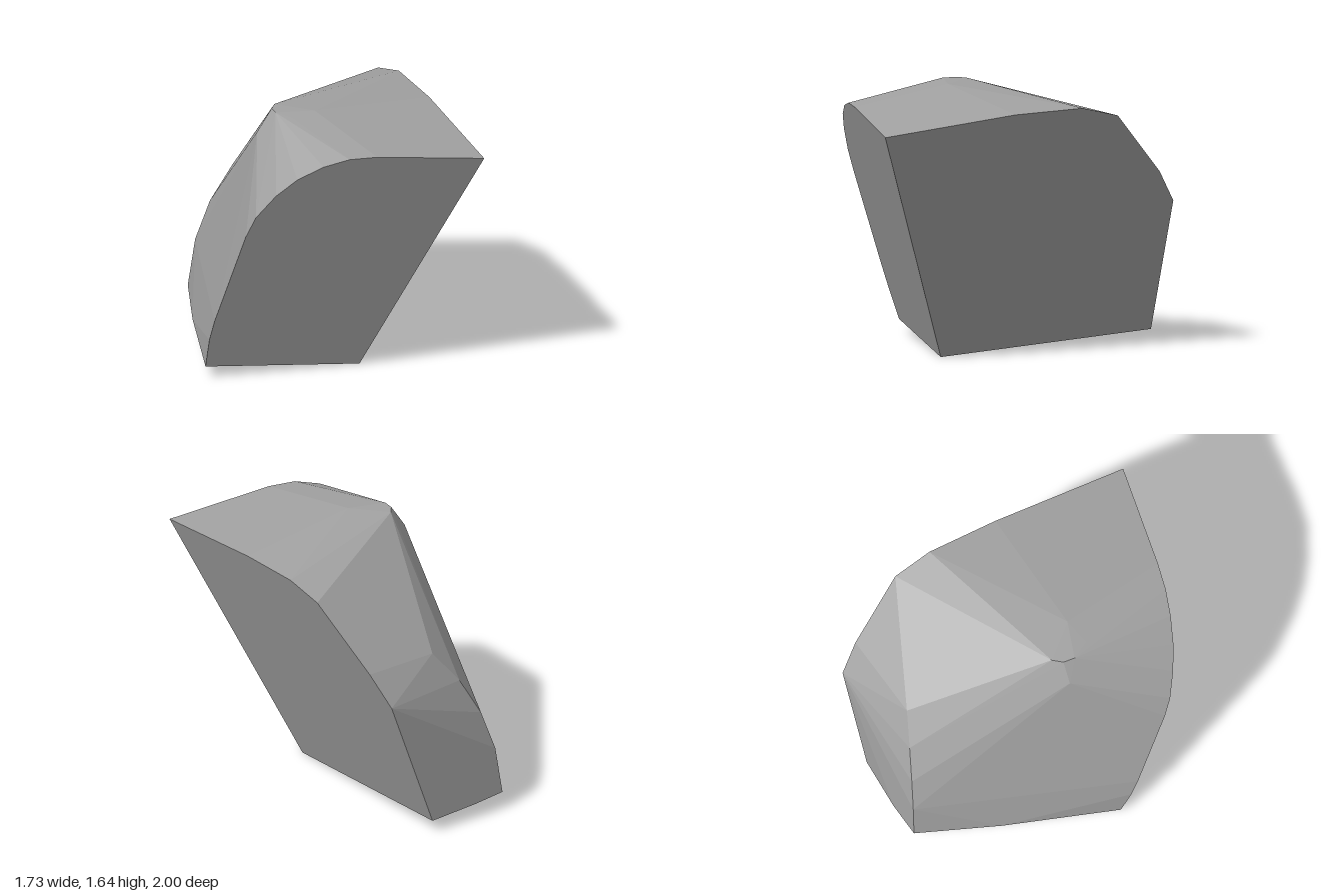
import * as THREE from 'three';
import { ConvexGeometry } from 'three/addons/geometries/ConvexGeometry.js';

export function createModel() {
  const group = new THREE.Group();
  group.name = 'rockChunk';
  const stone = new THREE.MeshStandardMaterial({ color: 0xa2a2a2 });
  stone.name = 'grey stone';

  const points = [];
  const add = (x, y, z) => points.push(new THREE.Vector3(x, y, z));

  // Flat front cut: outline given as (x, y), depth follows the sloping plane
  [[0.86, 1.48], [0.2, 1.56], [0.03, 1.56], [-0.13, 1.52], [-0.29, 1.44], [-0.42, 1.33],
    [-0.54, 1.18], [-0.6, 1.04], [-0.78, 0.42], [-0.81, 0.28], [-0.83, 0.08], [0.12, 0]]
    .forEach(([x, y]) => add(x, y, 0.452 - 0.1813 * x + 0.3474 * y));

  // Flat left cut: outline given as (y, z), x follows the sloping plane
  [[1.565, 0], [1.575, -0.42], [1.51, -0.64], [1.35, -0.75], [1.12, -0.91], [0.92, -1], [0.08, -0.88]]
    .forEach(([y, z]) => add(-0.052 + 0.397 * y + 0.4 * z, y, z));

  // Weathered crown
  [[-0.41, 1.64, 0.32], [-0.39, 1.64, 0.25], [-0.39, 1.64, 0.39],
    [-0.15, 1.64, 0.37], [-0.29, 1.63, 0.47], [-0.5, 1.5, 0.35]]
    .forEach((p) => add(...p));

  // Rounded back corner and bottom edge
  [[-0.43, 1.09, -0.64], [-0.6, 0.89, -0.64], [-0.735, 0.66, -0.64], [-0.825, 0.41, -0.64],
    [-0.87, 0.11, -0.64], [-0.87, 0.1, -0.1], [-0.68, 0.1, -0.745]]
    .forEach((p) => add(...p));

  const rock = new THREE.Mesh(new ConvexGeometry(points), stone);
  rock.name = 'rock';
  group.add(rock);
  return group;
}
